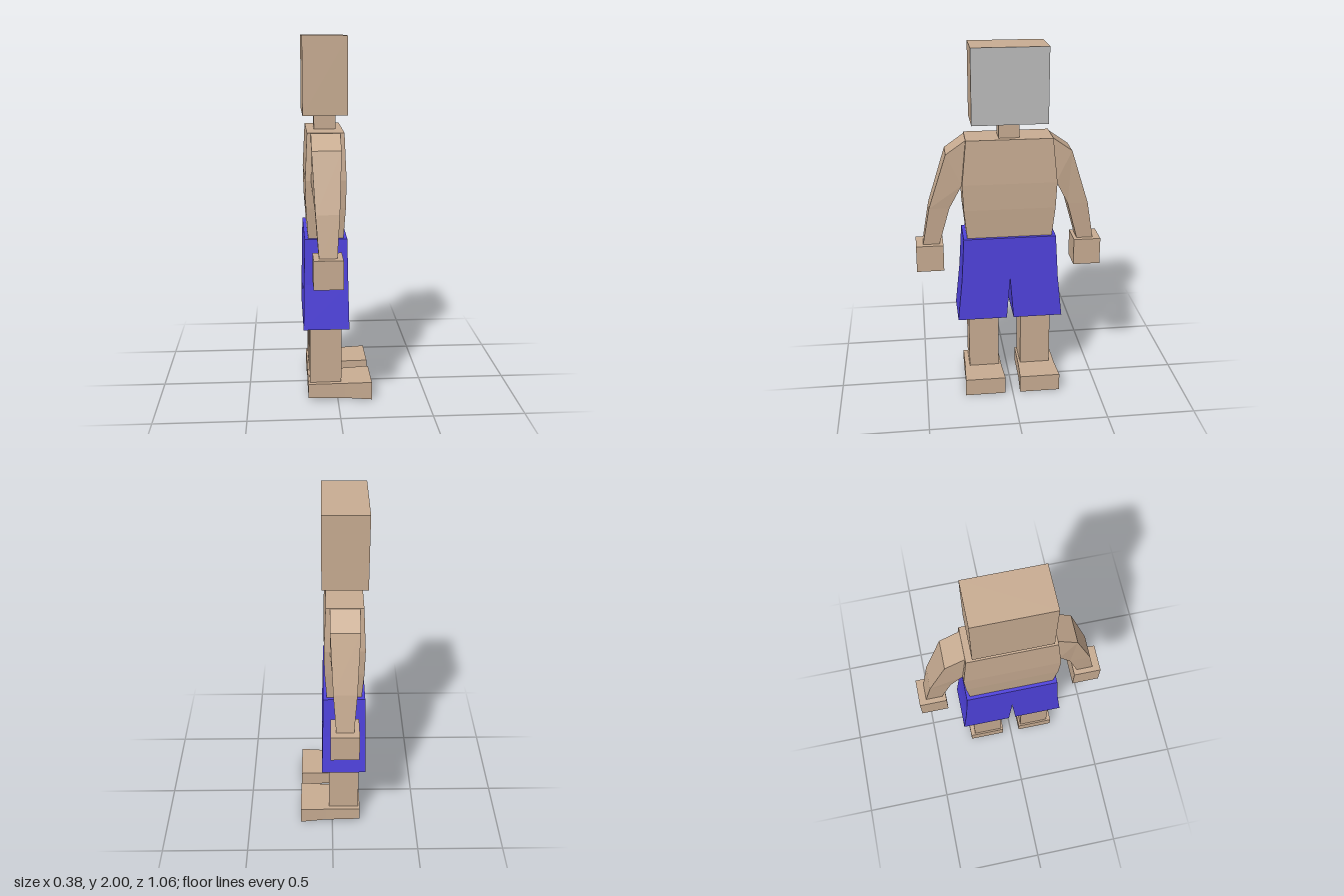
import * as THREE from 'three';

const skin = new THREE.MeshStandardMaterial({ color: 0xc8ac92 });
skin.name = 'skin';
const cloth = new THREE.MeshStandardMaterial({ color: 0x4f42dc });
cloth.name = 'blueCloth';
const face = new THREE.MeshStandardMaterial({ color: 0xbcbcbc });
face.name = 'greyFace';

// Four-cornered cross-sections: level in y, or standing in the y-z plane across x.
const level = (y, x0, x1, z0, z1) => [[x0, y, z0], [x1, y, z0], [x1, y, z1], [x0, y, z1]];
const upright = (x, y0, y1, z0, z1) => [[x, y0, z0], [x, y1, z0], [x, y1, z1], [x, y0, z1]];
// Arm section running from an inner to an outer (z, y) point.
const slanted = (x0, x1, [zi, yi], [zo, yo]) => [[x0, yi, zi], [x1, yi, zi], [x1, yo, zo], [x0, yo, zo]];

// Skin a list of sections with flat faces; side = -1 mirrors across z.
function loft(rings, { side = 1, startCap = true, endCap = true } = {}) {
  const r = rings.map((ring) => ring.map(([x, y, z]) => new THREE.Vector3(x, y, z * side)));
  const quads = [];
  for (let i = 0; i + 1 < r.length; i++) {
    for (let k = 0; k < 4; k++) {
      const n = (k + 1) % 4;
      quads.push([r[i][k], r[i][n], r[i + 1][n], r[i + 1][k]]);
    }
  }
  if (startCap) quads.push([...r[0]].reverse());
  if (endCap) quads.push(r[r.length - 1]);

  // Turn the corner order so that all faces point outwards.
  const [a, b, , d] = r[0];
  const axis = r[1].reduce((s, p, k) => s.add(p).sub(r[0][k]), new THREE.Vector3());
  const flip = b.clone().sub(a).cross(d.clone().sub(a)).dot(axis) < 0;
  const pos = [];
  for (const q of quads) {
    const [p0, p1, p2, p3] = flip ? [...q].reverse() : q;
    for (const p of [p0, p1, p2, p0, p2, p3]) pos.push(p.x, p.y, p.z);
  }
  const geo = new THREE.BufferGeometry();
  geo.setAttribute('position', new THREE.Float32BufferAttribute(pos, 3));
  geo.computeVertexNormals();
  return geo;
}

export function createModel() {
  const model = new THREE.Group();
  model.name = 'blockFigure';

  const add = (name, geo, material) => {
    const mesh = new THREE.Mesh(geo, material);
    mesh.name = name;
    model.add(mesh);
  };
  const box = (name, x0, x1, y0, y1, z0, z1, material = skin) => {
    const geo = new THREE.BoxGeometry(x1 - x0, y1 - y0, z1 - z0);
    geo.translate((x0 + x1) / 2, (y0 + y1) / 2, (z0 + z1) / 2);
    add(name, geo, material);
  };

  // Head with a grey face towards +x, and neck
  box('head', -0.185, 0.055, 1.587, 2, -0.209, 0.209, [face, skin, skin, skin, skin, skin]);
  box('neck', -0.12, 0, 1.49, 1.59, -0.057, 0.057);

  // Torso, widest at the chest
  add('torso', loft([
    level(0.92, -0.16, 0.03, -0.24, 0.24),
    level(1.1, -0.172, 0.042, -0.258, 0.258),
    level(1.25, -0.175, 0.045, -0.265, 0.265),
    level(1.5, -0.163, 0.035, -0.24, 0.24),
  ]), skin);

  // Upper half of the shorts
  add('shortsHips', loft([
    level(0.68, -0.185, 0.055, -0.277, 0.277),
    level(0.93, -0.18, 0.05, -0.262, 0.262),
  ], { startCap: false }), cloth);

  for (const side of [1, -1]) {
    const tag = side > 0 ? 'left' : 'right';
    const mirrored = (z0, z1) => (side > 0 ? [z0, z1] : [-z1, -z0]);

    // Flared trouser leg
    add(`${tag}ShortsLeg`, loft([
      level(0.43, -0.19, 0.06, 0.02, 0.303),
      level(0.68, -0.185, 0.055, 0, 0.277),
    ], { side, endCap: false }), cloth);

    // Shin and foot
    box(`${tag}Leg`, -0.155, 0.02, 0.08, 0.45, ...mirrored(0.065, 0.24));
    add(`${tag}Foot`, loft([
      upright(-0.165, 0.012, 0.095, 0.053, 0.266),
      upright(0.04, 0.009, 0.097, 0.051, 0.268),
      upright(0.19, 0, 0.102, 0.043, 0.276),
    ], { side }), skin);

    // Bent arm and block hand
    add(`${tag}Arm`, loft([
      slanted(-0.143, 0.013, [0.22, 1.24], [0.24, 1.497]),
      slanted(-0.143, 0.013, [0.265, 1.24], [0.35, 1.42]),
      slanted(-0.128, -0.002, [0.335, 1.105], [0.45, 1.105]),
      slanted(-0.112, -0.018, [0.397, 0.88], [0.49, 0.88]),
    ], { side }), skin);
    box(`${tag}Hand`, -0.142, 0.012, 0.73, 0.885, ...mirrored(0.375, 0.53));
  }
  return model;
}
